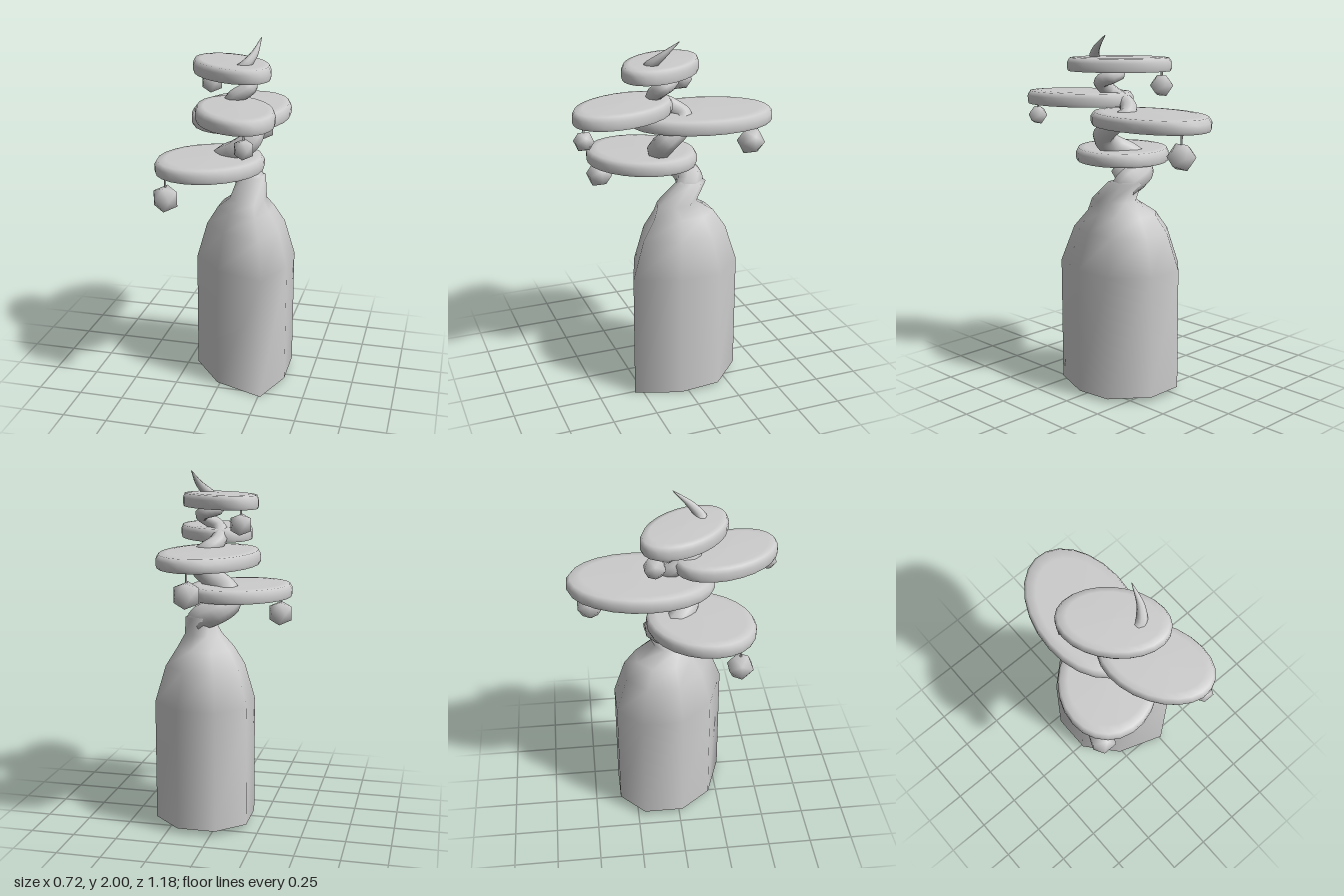
import * as THREE from 'three';

const material = new THREE.MeshStandardMaterial({ color: 0xcccccc, side: THREE.DoubleSide });

function add(parent, name, geometry) {
  const mesh = new THREE.Mesh(geometry, material);
  mesh.name = name;
  parent.add(mesh);
  return mesh;
}

// Stout lower trunk, open below: an irregular octagon lofted up to a leaning neck
function trunkBase() {
  const outline = [ // x, z, height of the uneven foot
    [0.357, -0.18, 0.02], [0.355, 0.05, 0.003], [0.262, 0.297, 0], [-0.015, 0.2, 0.005],
    [-0.18, 0.02, 0.03], [-0.18, -0.21, 0.03], [-0.03, -0.35, 0.03], [0.185, -0.352, 0.03]];
  const cx = 0.09, cz = -0.025, n = outline.length;
  const rings = [ // height, scale, centre x, centre z
    [0, 1, cx, cz], [0.715, 1, cx, cz], [0.92, 0.79, 0.09, -0.03], [1.02, 0.57, 0.09, -0.035],
    [1.09, 0.37, 0.115, 0.005], [1.2, 0.27, 0.118, -0.085], [1.23, 0.01, 0.1, -0.085]];
  const pos = [], index = [];
  rings.forEach(([y, s, x0, z0], k) => outline.forEach(([x, z, foot]) =>
    pos.push(x0 + (x - cx) * s, k ? y : foot, z0 + (z - cz) * s)));
  for (let k = 0; k < rings.length - 1; k++) {
    for (let i = 0; i < n; i++) {
      const a = k * n + i, b = k * n + (i + 1) % n;
      index.push(a, a + n, b, b, a + n, b + n);
    }
  }
  const g = new THREE.BufferGeometry();
  g.setAttribute('position', new THREE.Float32BufferAttribute(pos, 3));
  g.setIndex(index);
  g.computeVertexNormals();
  return g;
}

// Spiralling upper trunk, tapering to a pointed tip
function spiralTrunk() {
  const knots = [ // x, y, z, radius
    [0.125, 1.14, -0.05, 0.065], [0.105, 1.195, -0.09, 0.078], [0.02, 1.235, -0.09, 0.077],
    [-0.035, 1.275, -0.04, 0.074], [-0.015, 1.33, 0.02, 0.068], [0.07, 1.385, 0.075, 0.066],
    [0.145, 1.45, 0.06, 0.062], [0.14, 1.52, -0.025, 0.055], [0.085, 1.567, -0.065, 0.05],
    [0.03, 1.615, -0.01, 0.046], [0.055, 1.685, 0.1, 0.043], [0.14, 1.745, 0.085, 0.041],
    [0.115, 1.772, 0.02, 0.039], [0.045, 1.79, 0.04, 0.037], [0.06, 1.82, 0.13, 0.035],
    [0.12, 1.865, 0.15, 0.032], [0.163, 1.92, 0.1, 0.022], [0.185, 2, 0.003, 0.002]];
  const path = new THREE.CatmullRomCurve3(knots.map(k => new THREE.Vector3(k[0], k[1], k[2])));
  const steps = 80, sides = 8;
  const g = new THREE.TubeGeometry(path, steps, 1, sides);
  const p = g.attributes.position, v = new THREE.Vector3();
  const radiusAt = y => {
    let i = 0;
    while (i < knots.length - 2 && knots[i + 1][1] < y) i++;
    const t = THREE.MathUtils.clamp((y - knots[i][1]) / (knots[i + 1][1] - knots[i][1]), 0, 1);
    return THREE.MathUtils.lerp(knots[i][3], knots[i + 1][3], t);
  };
  for (let i = 0; i <= steps; i++) {
    const c = path.getPointAt(i / steps), r = radiusAt(c.y);
    for (let j = 0; j <= sides; j++) {
      const k = i * (sides + 1) + j;
      v.fromBufferAttribute(p, k).sub(c).multiplyScalar(r).add(c);
      p.setXYZ(k, v.x, v.y, v.z);
    }
  }
  return g;
}

// Hollow cap: a unit lathe stretched and skewed into a turned ellipse
function capGeometry(hx, hz, skew) {
  const profile = [[0.98, 0], [1, 0.015], [1, 0.048], [0.95, 0.073], [0.8, 0.077], [0, 0.08]]
    .map(([x, y]) => new THREE.Vector2(x, y));
  const g = new THREE.LatheGeometry(profile, 24);
  const s = skew / hx;
  g.applyMatrix4(new THREE.Matrix4().set(
    hx, 0, 0, 0,
    0, 1, 0, 0,
    s, 0, Math.sqrt(hz * hz - s * s), 0,
    0, 0, 0, 1));
  return g;
}

// Smooth-shaded low-poly bauble
function baubleGeometry(r) {
  const g = new THREE.IcosahedronGeometry(r, 0);
  const p = g.attributes.position;
  for (let i = 0; i < p.count; i++) {
    g.attributes.normal.setXYZ(i, p.getX(i) / r, p.getY(i) / r, p.getZ(i) / r);
  }
  return g.rotateX(Math.PI / 2);
}

export function createModel() {
  const model = new THREE.Group();
  model.name = 'twistedTree';
  add(model, 'trunkBase', trunkBase());
  add(model, 'spiralTrunk', spiralTrunk());

  const tiers = [ // cap centre, half sizes, skew, hanging bauble
    { at: [-0.07, 1.283, 0.13], hx: 0.291, hz: 0.297, skew: -0.0145, bauble: [-0.27, 1.16, 0.32, 0.078] },
    { at: [0.036, 1.508, -0.19], hx: 0.268, hz: 0.402, skew: -0.01, bauble: [0.09, 1.38, -0.47, 0.08] },
    { at: [0.109, 1.605, 0.29], hx: 0.23, hz: 0.296, skew: 0.023, bauble: [0.215, 1.53, 0.54, 0.057] },
    { at: [0.031, 1.8, 0.05], hx: 0.238, hz: 0.247, skew: 0.026, bauble: [-0.124, 1.72, -0.126, 0.066] }];
  for (const { at, hx, hz, skew, bauble: [x, y, z, r] } of tiers) {
    const tier = new THREE.Group();
    tier.name = 'tier';
    model.add(tier);
    add(tier, 'cap', capGeometry(hx, hz, skew)).position.set(...at);
    add(tier, 'bauble', baubleGeometry(r)).position.set(x, y, z);
    const top = at[1] + 0.07;
    add(tier, 'string', new THREE.CylinderGeometry(0.006, 0.006, top - y, 6)).position.set(x, (top + y) / 2, z);
  }
  return model;
}
